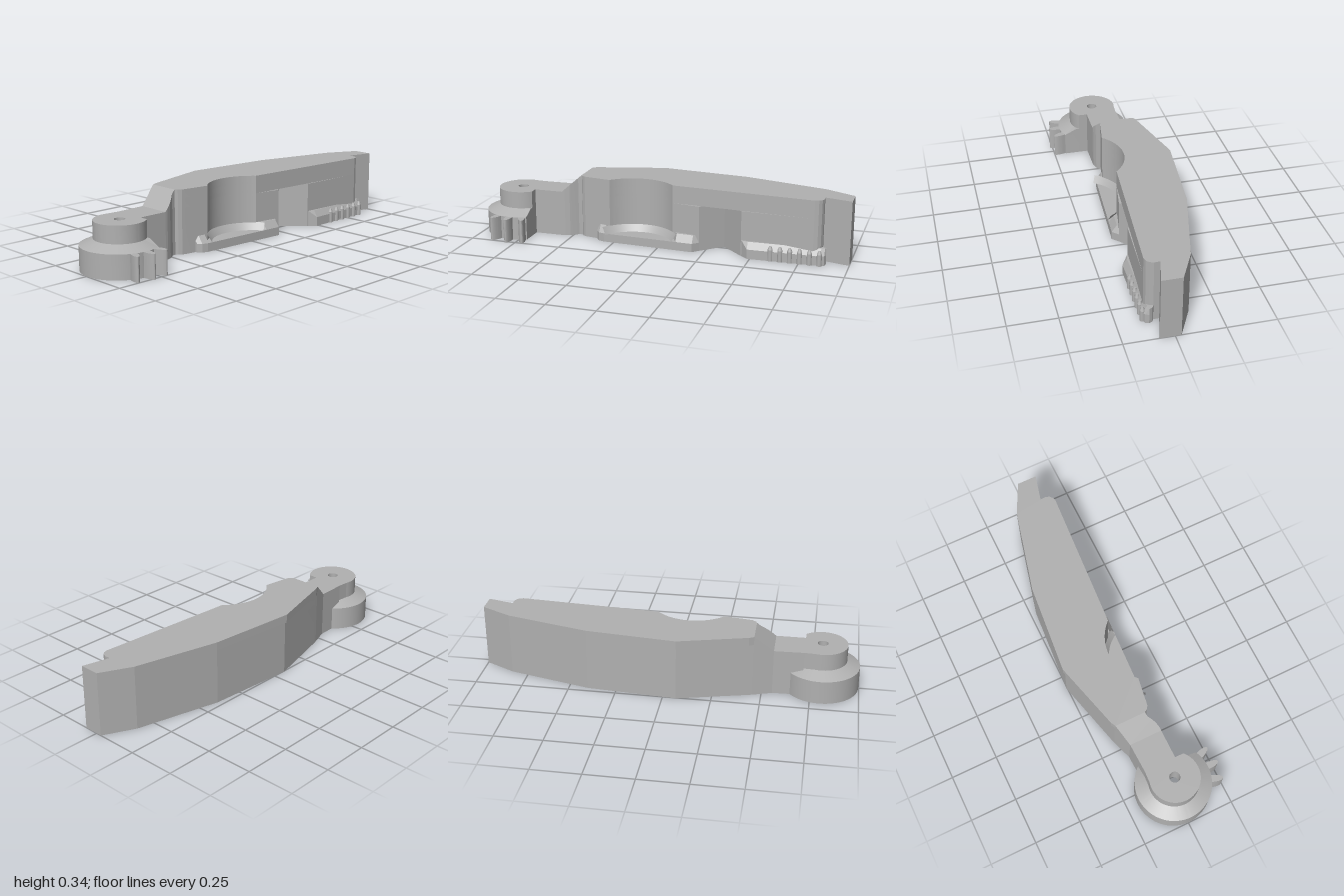
import * as THREE from 'three';
import { toCreasedNormals } from 'three/addons/utils/BufferGeometryUtils.js';

const grey = new THREE.MeshStandardMaterial({ color: 0xb0b0b0 });
grey.name = 'grey plastic';
const openGrey = grey; // one colour for the whole part
openGrey.side = THREE.DoubleSide;

// Points [x, z] along an arc, angles in degrees from +x towards +z
function arc(cx, cz, r, a0, a1, n = 40) {
  return Array.from({ length: n + 1 }, (_, i) => {
    const a = THREE.MathUtils.degToRad(a0 + (a1 - a0) * i / n);
    return [cx + r * Math.cos(a), cz + r * Math.sin(a)];
  });
}

// Upright slab from a plan outline of [x, z] points; reshape(v) may move its top rim
function slab(outline, y0, y1, { hole, reshape } = {}) {
  const toV = ([x, z]) => new THREE.Vector2(x, -z);
  const shape = new THREE.Shape(outline.map(toV));
  if (hole) shape.holes.push(new THREE.Path(hole.map(toV)));
  const g = new THREE.ExtrudeGeometry(shape, { depth: y1 - y0, bevelEnabled: false });
  g.rotateX(-Math.PI / 2);
  g.translate(0, y0, 0);
  if (reshape) {
    const p = g.attributes.position, v = new THREE.Vector3();
    for (let i = 0; i < p.count; i++) {
      v.fromBufferAttribute(p, i);
      if (v.y < (y0 + y1) / 2) continue;
      reshape(v);
      p.setXYZ(i, v.x, v.y, v.z);
    }
  }
  return toCreasedNormals(g, 0.14);
}

export function createModel() {
  const model = new THREE.Group();
  const add = (name, geometry) => {
    const m = new THREE.Mesh(geometry, grey);
    m.name = name;
    model.add(m);
    return m;
  };

  // Main body: the long curved handle with a round finger recess
  const tail = [[-0.03, -1], [0.075, -1], [0.04, -0.86], [0.07, -0.862], [0.09, -0.855], [0.104, -0.84], [0.11, -0.82]];
  const notch = [[0.092, -0.445], [-0.02, -0.33], [0.083, -0.22]];
  const recess = arc(0.217, 0.105, 0.235, 228, 132);
  const nose = [[0.04, 0.41], [0.036, 0.43], [0.025, 0.447], [0.01, 0.455], [-0.155, 0.455]];
  const back = [[-0.22, -0.4], [-0.11, -0.84]];
  const lowerBack = [[-0.162, 0.43], [-0.255, 0.07], ...back];
  const lipBack = [[-0.168, 0.43], [-0.265, 0.07], ...back];
  add('lowerBody', slab([...tail, ...notch, ...recess, ...nose, ...lowerBack], 0, 0.24));
  add('middleBody', slab([...tail, ...recess, ...nose, ...lowerBack], 0.24, 0.29));
  add('topLip', slab([...tail, ...recess, ...nose, ...lipBack], 0.29, 0.335));

  // Neck with its ramp, and the arm leading to the pivot
  const neck = [[-0.155, 0.455], [0.01, 0.455], [0.014, 0.475], [0.03, 0.495], [0.044, 0.515], [0.053, 0.54], [0.055, 0.555], [-0.12, 0.555]];
  add('neckRamp', slab(neck, 0, 0.335, { reshape: v => { v.y = 0.335 - (v.z - 0.455) * 0.9; } }));
  add('arm', slab([[-0.12, 0.555], [0.055, 0.555], [0.055, 0.71], [-0.115, 0.71]], 0, 0.245));

  // Pivot: wide base, sloping shoulder and upper boss around a stepped hole
  const cx = 0.007, cz = 0.8;
  const base = [...arc(cx, cz, 0.198, -27, 232, 64), [-0.115, 0.71], [0.055, 0.71]];
  add('pivotBase', slab(base, 0, 0.125, { hole: arc(cx, cz, 0.06, 0, 360, 60).slice(1) }));
  add('pivotShoulder', slab(base, 0.125, 0.155, {
    hole: arc(cx, cz, 0.028, 0, 360, 60).slice(1),
    reshape: v => {
      const r = Math.hypot(v.x - cx, v.z - cz);
      if (r < 0.19) return;
      v.x = cx + (v.x - cx) * 0.13 / r;
      v.z = v.z < 0.72 && v.x > 0 ? 0.71 : cz + (v.z - cz) * 0.13 / r;
    },
  }));
  add('pivotBoss', slab([...arc(cx, cz, 0.13, -43.8, 195, 60), [-0.115, 0.71], [0.055, 0.71]], 0.155, 0.245,
    { hole: arc(cx, cz, 0.028, 0, 360, 60).slice(1) }));

  // Gear teeth on the side of the pivot
  for (const deg of [-20, 0, 20]) {
    const a = THREE.MathUtils.degToRad(deg);
    const tooth = arc(0, 0, 1, -90, 90, 24).map(([u, w]) => [0.205 + u * 0.052, w * 0.018]);
    tooth.push([0.18, 0.018], [0.18, -0.018]);
    add('gearTooth', slab(tooth.map(([r, w]) => [
      cx + r * Math.cos(a) - w * Math.sin(a), cz + r * Math.sin(a) + w * Math.cos(a)]), 0, 0.125));
  }

  // Low ledge under the finger recess, with chamfered ends and a sloping rim
  const chamfer = v => { if (v.x > 0.05) v.x -= 0.027; };
  add('recessLedge', slab([[-0.1, 0.3], [0.03, 0.355], [0.06, 0.352], [0.08, 0.335], [0.09, 0.305],
    [0.115, -0.19], [0.083, -0.22], [0, -0.15]], 0, 0.045));
  add('ledgeFrontEnd', slab([[0, 0.27], [0.045, 0.275], [0.088, 0.3], [0.08, 0.335], [0.06, 0.352], [0.03, 0.355]],
    0.045, 0.083, { reshape: chamfer }));
  add('ledgeBackEnd', slab([[0.03, -0.06], [0.06, -0.075], [0.11, -0.1], [0.115, -0.19], [0.083, -0.22], [0.03, -0.17]],
    0.045, 0.083, { reshape: chamfer }));
  const rim = new THREE.LatheGeometry([new THREE.Vector2(0.212, 0.045), new THREE.Vector2(0.236, 0.083)],
    40, Math.PI * 1.5 - 1.04, 2.08);
  add('recessRim', rim).position.set(0.217, 0, 0.105);

  // Toothed rack along the side near the tail
  const rack = [[0.06, -0.45], [0.096, -0.45], [0.128, -0.485], [0.122, -0.86], [0.113, -0.878], [0.095, -0.885],
    [0.078, -0.878], [0.07, -0.862], [0.06, -0.84]];
  add('rack', slab(rack, 0, 0.05));
  add('rackChamfer', slab(rack, 0.05, 0.085, { reshape: v => { if (v.x > 0.1) v.x -= 0.022; } }));
  for (let i = 0; i < 6; i++) {
    const tooth = new THREE.CylinderGeometry(0.006, 0.013, 0.018, 16).translate(0, 0.069, 0);
    const z = -0.605 - i * 0.05;
    add('rackToothTip', tooth).position.set(0.121, 0, z);
    add('rackTooth', new THREE.CylinderGeometry(0.013, 0.013, 0.06, 16)).position.set(0.121, 0.03, z);
  }
  return model;
}
